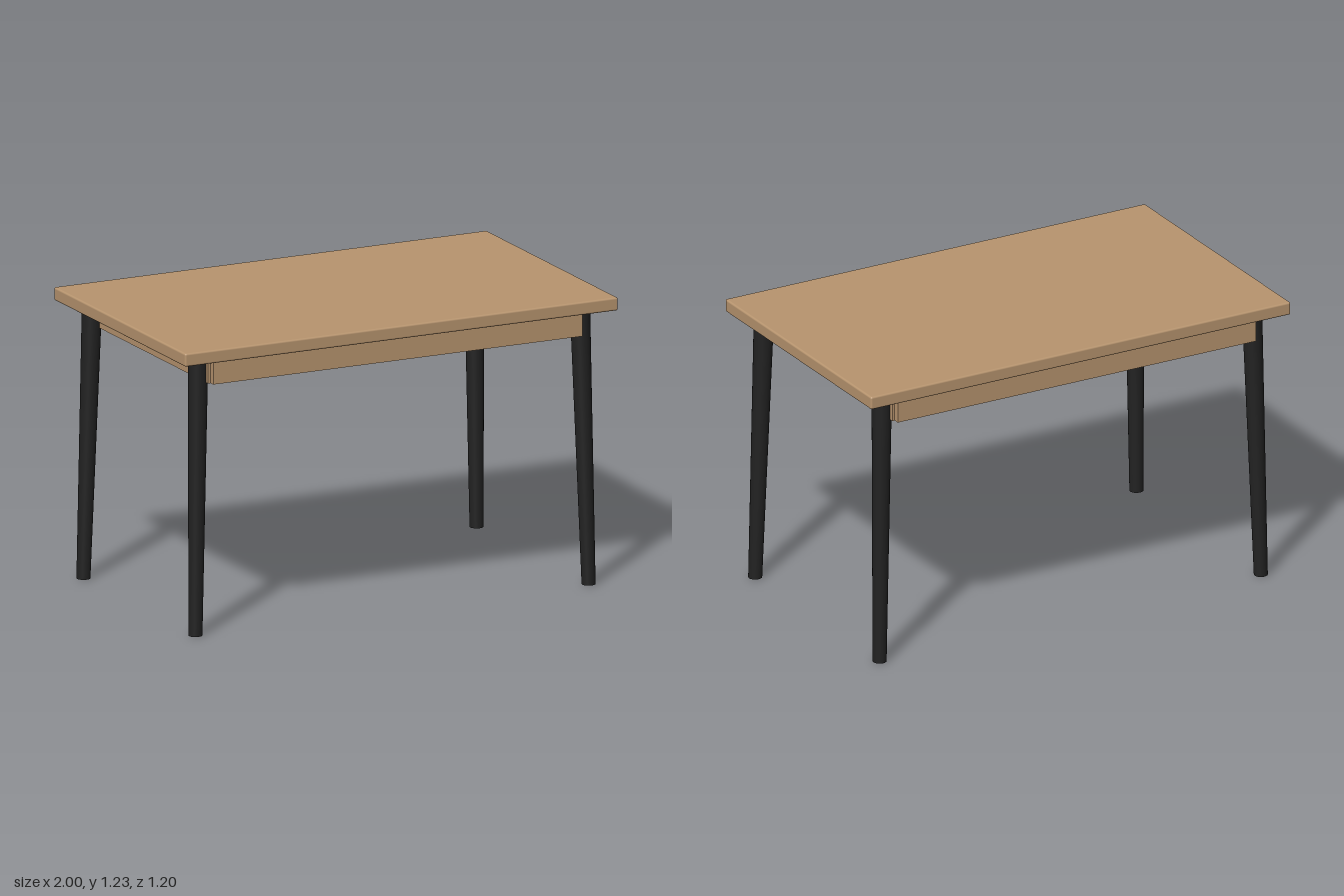
import * as THREE from 'three';
import { RoundedBoxGeometry } from 'three/addons/geometries/RoundedBoxGeometry.js';

export function createModel() {
  const table = new THREE.Group();
  table.name = 'table';

  const wood = new THREE.MeshStandardMaterial({ color: 0xb8956f });
  wood.name = 'wood';
  const black = new THREE.MeshStandardMaterial({ color: 0x222222 });
  black.name = 'black';

  const add = (name, geometry, material, x, y, z) => {
    const mesh = new THREE.Mesh(geometry, material);
    mesh.name = name;
    mesh.position.set(x, y, z);
    table.add(mesh);
  };

  const underside = 1.176, topHeight = 0.056;
  const apronHeight = 0.1, apronThickness = 0.025;

  // Table top with softly rounded edges
  add('tableTop', new RoundedBoxGeometry(2, topHeight, 1.2, 3, 0.008), wood,
    0, underside + topHeight / 2, 0);

  // Apron frame: long rails front and back, short rails at the sides
  const apronY = underside - apronHeight / 2;
  for (const s of [1, -1]) {
    add(s > 0 ? 'frontApron' : 'backApron',
      new THREE.BoxGeometry(1.706, apronHeight, apronThickness), wood, 0, apronY, s * 0.553);
    add(s > 0 ? 'leftApron' : 'rightApron',
      new THREE.BoxGeometry(apronThickness, apronHeight, 1.081), wood, s * 0.852, apronY, 0);
  }

  // Tapered legs, sheared outward so both ends stay level
  const foot = { x: 0.908, z: 0.511, r: 0.029 };
  const head = { x: 0.882, z: 0.484, r: 0.042 };
  for (const sx of [1, -1]) {
    for (const sz of [1, -1]) {
      const leg = new THREE.CylinderGeometry(head.r, foot.r, underside, 32);
      leg.translate(0, underside / 2, 0);
      const p = leg.attributes.position;
      for (let i = 0; i < p.count; i++) {
        const t = p.getY(i) / underside;
        p.setX(i, p.getX(i) + sx * THREE.MathUtils.lerp(foot.x, head.x, t));
        p.setZ(i, p.getZ(i) + sz * THREE.MathUtils.lerp(foot.z, head.z, t));
      }
      add((sz > 0 ? 'front' : 'back') + (sx > 0 ? 'Left' : 'Right') + 'Leg', leg, black, 0, 0, 0);
    }
  }

  return table;
}
